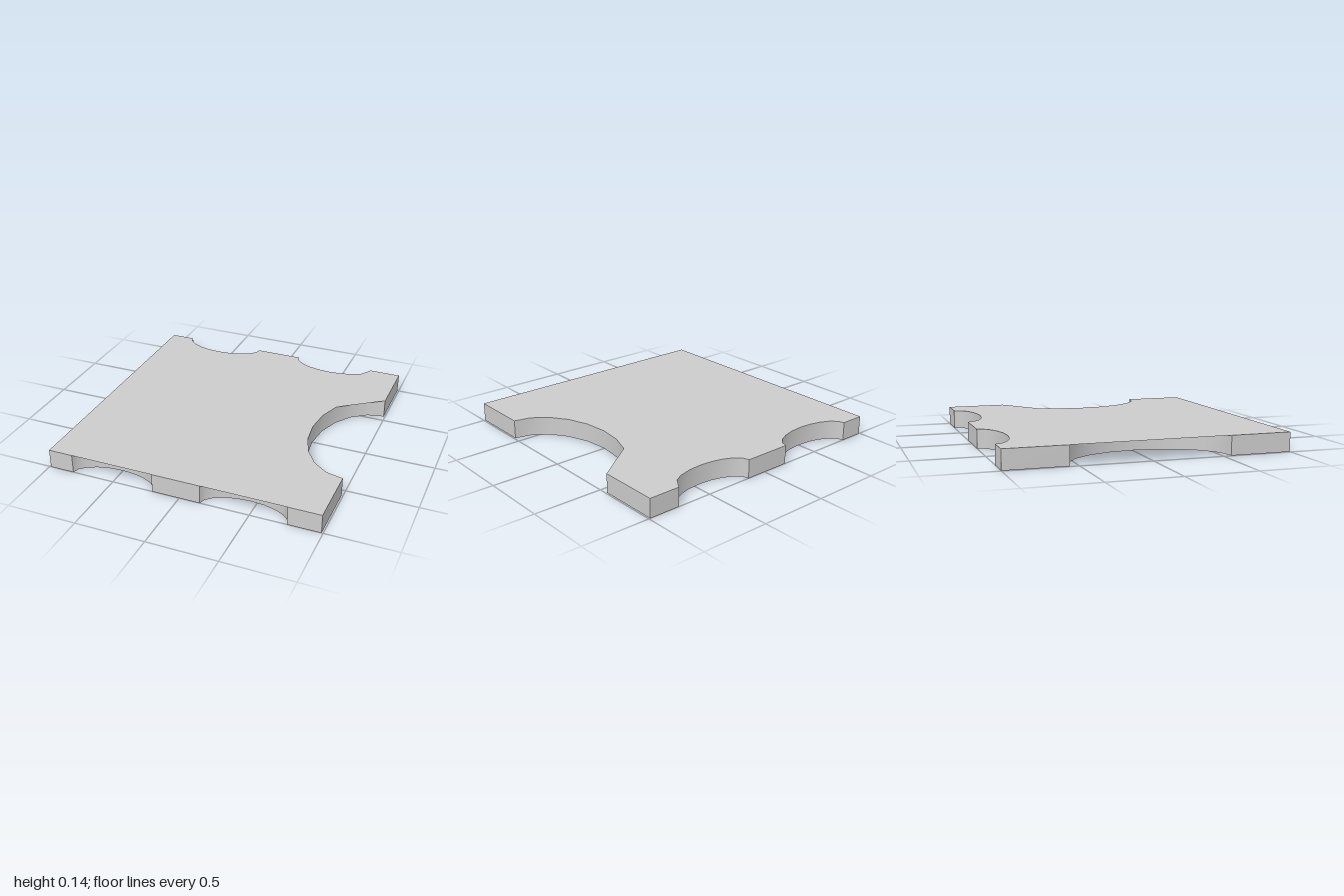
import * as THREE from 'three';

const HX = 0.99, HZ = 1, TOP = 0.137, STEPS = 10;
const material = new THREE.MeshStandardMaterial({ color: 0xcccccc, side: THREE.DoubleSide });

// Sides run counterclockwise seen from above: s goes along the side, d goes inwards.
// "cut" scallops also notch the plate; "skip" drops points from that notch.
const bigScallop = { c: 0, a: 0.56, b: 0.39 };
const small = (c) => ({ c, a: 0.305, b: 0.147 });
const sides = [
  { name: 'front', half: HX, at: (s, d) => [s, HZ - d], cut: false,
    scallops: [small(-0.505), small(0.455)] },
  { name: 'left', half: HZ, at: (s, d) => [HX - d, -s], cut: true,
    scallops: [{ ...bigScallop, skip: [8, 9] }] },
  { name: 'back', half: HX, at: (s, d) => [-s, -HZ + d], cut: true,
    scallops: [{ ...small(-0.455), skip: [1] }, small(0.505)] },
  { name: 'right', half: HZ, at: (s, d) => [-HX + d, s], cut: false,
    scallops: [bigScallop] },
];

// Half-ellipse biting into a side
function arcPoints(side, { c, a, b }) {
  const points = [];
  for (let k = 0; k <= STEPS; k++) {
    const t = (Math.PI * k) / STEPS;
    points.push(side.at(c - a * Math.cos(t), b * Math.sin(t)));
  }
  return points;
}

// Upright strip of wall following [x, z] points
function wall(points, name) {
  const n = points.length;
  const geometry = new THREE.PlaneGeometry(1, 1, n - 1, 1);
  const position = geometry.attributes.position;
  for (let i = 0; i < position.count; i++) {
    const [x, z] = points[i % n];
    position.setXYZ(i, x, i < n ? TOP : 0, z);
  }
  geometry.computeVertexNormals();
  const mesh = new THREE.Mesh(geometry, material);
  mesh.name = name;
  return mesh;
}

export function createModel() {
  const model = new THREE.Group();
  model.name = 'scallopedTile';
  const outline = [];

  for (const side of sides) {
    const skirt = new THREE.Group();
    skirt.name = `${side.name}Skirt`;
    let start = side.at(-side.half, 0);
    outline.push(start);
    for (const scallop of side.scallops) {
      const arc = arcPoints(side, scallop);
      skirt.add(wall([start, arc[0]], 'straightWall'), wall(arc, 'scallopWall'));
      if (side.cut) outline.push(...arc.filter((_, k) => !scallop.skip?.includes(k)));
      start = arc[STEPS];
    }
    skirt.add(wall([start, side.at(side.half, 0)], 'straightWall'));
    model.add(skirt);
  }

  // Thin top plate, overhanging the uncut scallops
  const shape = new THREE.Shape(outline.map(([x, z]) => new THREE.Vector2(x, -z)));
  const plate = new THREE.Mesh(new THREE.ShapeGeometry(shape).rotateX(-Math.PI / 2), material);
  plate.name = 'topPlate';
  plate.position.y = TOP;
  model.add(plate);
  return model;
}
